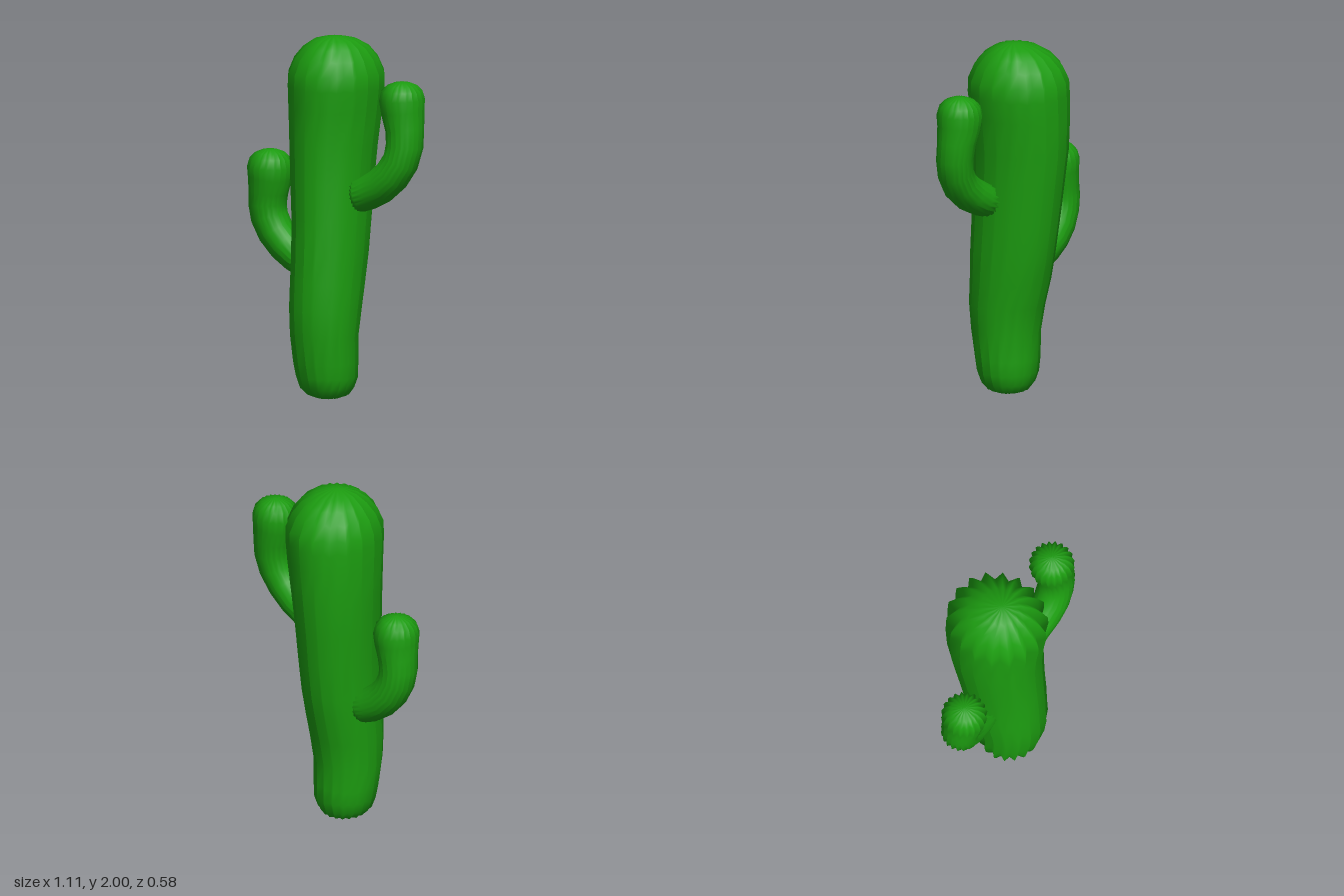
import * as THREE from 'three';

const green = new THREE.MeshStandardMaterial({ color: 0x1c9c10 });

// Sweeps a pleated (star-shaped) section along rings [x, y, z, r1, r2].
// Rings follow the path when tilt is true, otherwise they stay level.
function ribbedSweep(name, rings, ribs, tilt) {
  const pos = [], idx = [], n = ribs * 2;
  const centers = rings.map(r => new THREE.Vector3(r[0], r[1], r[2]));
  const depth = new THREE.Vector3(0, 0, 1);
  rings.forEach(([, , , r1, r2 = r1], i) => {
    const a = centers[Math.max(i - 1, 0)], b = centers[Math.min(i + 1, rings.length - 1)];
    const tangent = tilt ? b.clone().sub(a).setZ(0).normalize() : new THREE.Vector3(0, 1, 0);
    const side = tangent.clone().cross(depth);
    for (let j = 0; j < n; j++) {
      const t = (j / n) * Math.PI * 2, k = j % 2 ? 0.83 : 1;
      const p = centers[i].clone()
        .addScaledVector(side, Math.cos(t) * r1 * k)
        .addScaledVector(depth, Math.sin(t) * r2 * k);
      pos.push(p.x, p.y, p.z);
    }
  });
  for (let i = 0; i < rings.length - 1; i++) {
    for (let j = 0; j < n; j++) {
      const a = i * n + j, b = i * n + (j + 1) % n;
      idx.push(a, a + n, b, b, a + n, b + n);
    }
  }
  // close both ends with a fan to the ring centre
  const last = (rings.length - 1) * n, c0 = pos.length / 3;
  pos.push(...centers[0].toArray(), ...centers[rings.length - 1].toArray());
  for (let j = 0; j < n; j++) {
    const k = (j + 1) % n;
    idx.push(c0, j, k, c0 + 1, last + k, last + j);
  }
  const geo = new THREE.BufferGeometry();
  geo.setAttribute('position', new THREE.Float32BufferAttribute(pos, 3));
  geo.setIndex(idx);
  geo.computeVertexNormals();
  const mesh = new THREE.Mesh(geo, green);
  mesh.name = name;
  return mesh;
}

export function createModel() {
  const group = new THREE.Group();
  group.name = 'cactus';

  // leaning trunk with rounded ends
  group.add(ribbedSweep('trunk', [
    [-0.04, 0, 0.07, 0.06, 0.06],
    [-0.04, 0.02, 0.07, 0.115, 0.115],
    [-0.045, 0.06, 0.075, 0.15, 0.15],
    [-0.045, 0.12, 0.075, 0.172, 0.17],
    [-0.05, 0.2, 0.08, 0.18, 0.18],
    [-0.053, 0.35, 0.092, 0.188, 0.193],
    [-0.05, 0.5, 0.083, 0.198, 0.213],
    [-0.048, 0.65, 0.06, 0.203, 0.23],
    [-0.043, 0.8, 0.042, 0.207, 0.243],
    [-0.043, 1.0, 0.022, 0.213, 0.253],
    [-0.046, 1.2, 0.007, 0.225, 0.262],
    [-0.046, 1.4, -0.008, 0.238, 0.272],
    [-0.037, 1.6, -0.01, 0.255, 0.28],
    [-0.03, 1.72, -0.005, 0.263, 0.286],
    [-0.028, 1.8, -0.005, 0.261, 0.282],
    [-0.028, 1.88, -0.003, 0.228, 0.245],
    [-0.026, 1.94, 0, 0.18, 0.19],
    [-0.025, 1.98, 0.01, 0.12, 0.12],
    [-0.025, 1.997, 0.02, 0.05, 0.05],
    [-0.025, 2, 0.02, 0.01, 0.01],
  ], 18, false));

  // higher arm
  group.add(ribbedSweep('leftArm', [
    [0.14, 1.13, 0.085, 0.08],
    [0.16, 1.135, 0.085, 0.09],
    [0.22, 1.16, 0.09, 0.095],
    [0.3, 1.205, 0.105, 0.099],
    [0.375, 1.27, 0.115, 0.1],
    [0.428, 1.35, 0.113, 0.1],
    [0.449, 1.44, 0.105, 0.104],
    [0.445, 1.53, 0.096, 0.108],
    [0.43, 1.62, 0.09, 0.12],
    [0.425, 1.69, 0.09, 0.127],
    [0.425, 1.74, 0.09, 0.113],
    [0.425, 1.77, 0.09, 0.083],
    [0.425, 1.787, 0.09, 0.04],
    [0.425, 1.79, 0.09, 0.006],
  ], 20, true));

  // lower arm
  group.add(ribbedSweep('rightArm', [
    [-0.19, 0.72, 0, 0.08],
    [-0.21, 0.73, 0, 0.09],
    [-0.27, 0.76, -0.005, 0.097],
    [-0.345, 0.815, -0.012, 0.101],
    [-0.405, 0.88, -0.015, 0.102],
    [-0.443, 0.96, -0.012, 0.104],
    [-0.453, 1.03, -0.008, 0.106],
    [-0.445, 1.1, -0.002, 0.11],
    [-0.433, 1.18, 0.004, 0.122],
    [-0.43, 1.24, 0.005, 0.128],
    [-0.43, 1.29, 0.005, 0.113],
    [-0.43, 1.32, 0.005, 0.083],
    [-0.43, 1.337, 0.005, 0.04],
    [-0.43, 1.34, 0.005, 0.006],
  ], 20, true));

  return group;
}
